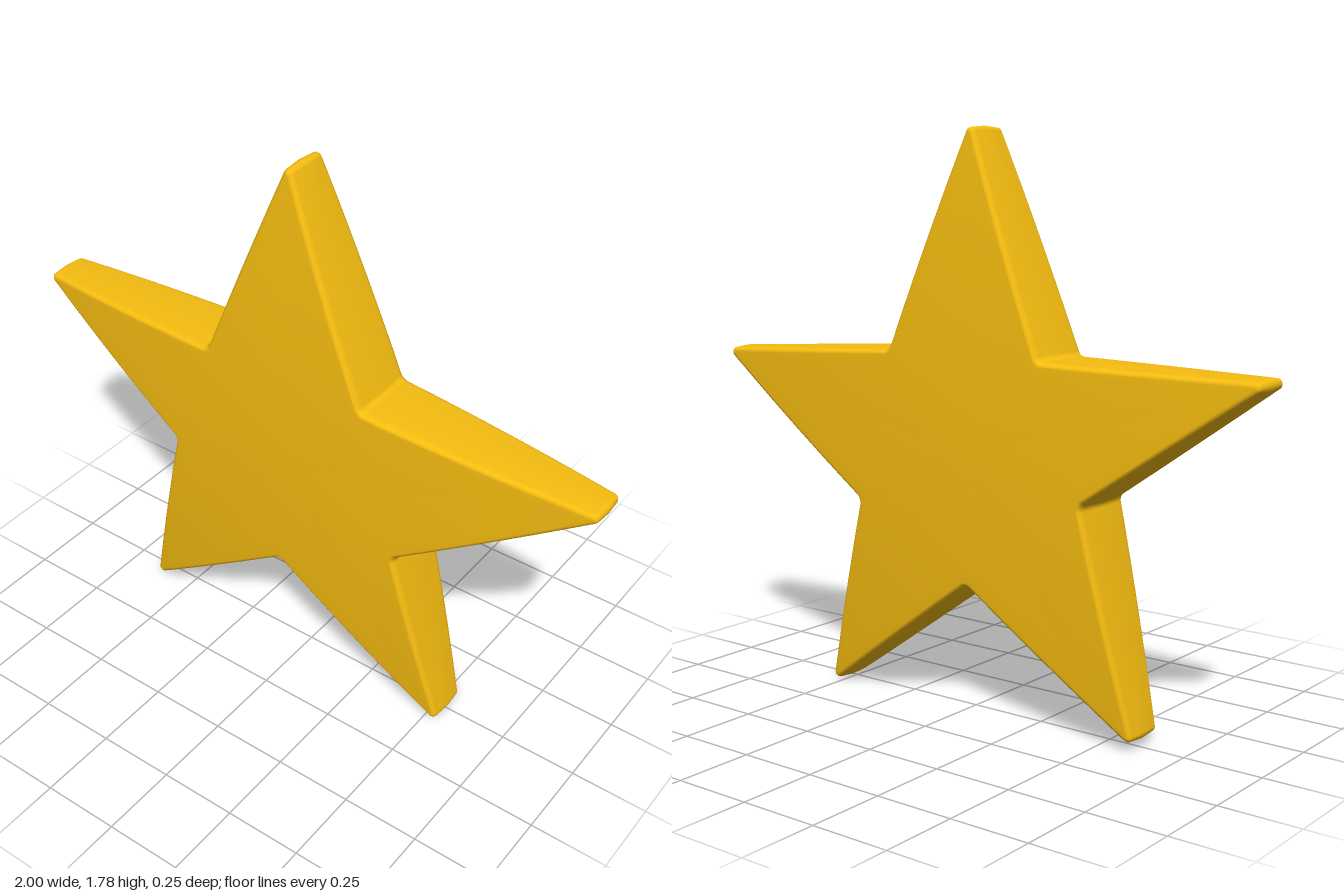
import * as THREE from 'three';

// Alternating tips and notches, counter-clockwise from the top tip
const CORNERS = [
  [-0.03, 1.78], [-0.315, 1.115], [-1, 1.09], [-0.465, 0.7], [-0.61, 0.025],
  [-0.045, 0.4], [0.535, 0], [0.39, 0.62], [1, 1.05], [0.26, 1.115],
].map(([x, y]) => new THREE.Vector2(x, y));
const CENTRE = new THREE.Vector2(-0.025, 0.82);
const RADIUS = 0.02, ARC_STEPS = 8, EDGE_STEPS = 10;

// Outline points with outward normals, every corner rounded by a small arc
function roundedOutline() {
  const n = CORNERS.length;
  const edgeAngle = (i) => {
    const d = CORNERS[(i + 1) % n].clone().sub(CORNERS[i % n]);
    return Math.atan2(-d.x, d.y);
  };
  const arcs = CORNERS.map((p, i) => {
    const a0 = edgeAngle(i + n - 1);
    let turn = edgeAngle(i) - a0;
    turn = Math.atan2(Math.sin(turn), Math.cos(turn));
    const r = turn > 0 ? RADIUS : -RADIUS;
    const dir = (a) => new THREE.Vector2(Math.cos(a), Math.sin(a));
    const c = p.clone().addScaledVector(dir(a0 + turn / 2), -r);
    return Array.from({ length: ARC_STEPS + 1 }, (_, k) => {
      const normal = dir(a0 + (turn * k) / ARC_STEPS);
      return { p: c.clone().addScaledVector(normal, r), normal };
    });
  });
  const out = [];
  arcs.forEach((arc, i) => {
    out.push(...arc);
    const a = arc[ARC_STEPS], b = arcs[(i + 1) % n][0];
    for (let k = 1; k < EDGE_STEPS; k++) {
      out.push({ p: a.p.clone().lerp(b.p, k / EDGE_STEPS), normal: a.normal });
    }
  });
  return out;
}

// Half thickness: domed in the middle, thinner towards the tips
const halfDepth = (p) => 0.126 - 0.057 * p.distanceToSquared(CENTRE);

function starGeometry() {
  const outline = roundedOutline(), n = outline.length;
  // Each ring: scale towards the centre, inset from the outline, share of depth
  const front = [];
  for (const s of [0.2, 0.4, 0.6, 0.8, 0.93]) front.push([s, 0.019, 1]);
  for (let k = 0; k <= 6; k++) {
    const a = (k / 6) * Math.PI / 2;
    front.push([1, 0.019 - 0.015 * Math.sin(a), 0.8 + 0.2 * Math.cos(a)]);
  }
  front.push([1, 0.002, 0.45]);
  const back = front.map(([s, inset, z]) => [s, inset, -z]).reverse();
  const rings = [...front, [1, 0, 0], ...back];

  const pos = [], index = [];
  for (const [s, inset, z] of rings) {
    for (const { p, normal } of outline) {
      const q = p.clone().addScaledVector(normal, -inset).lerp(CENTRE, 1 - s);
      pos.push(q.x, q.y, z * halfDepth(q));
    }
  }
  const frontPole = pos.length / 3, backPole = frontPole + 1, last = (rings.length - 1) * n;
  pos.push(CENTRE.x, CENTRE.y, halfDepth(CENTRE), CENTRE.x, CENTRE.y, -halfDepth(CENTRE));
  for (let i = 0; i < n; i++) {
    const j = (i + 1) % n;
    index.push(frontPole, i, j, backPole, last + j, last + i);
    for (let k = 0; k < rings.length - 1; k++) {
      const a = k * n + i, b = k * n + j;
      index.push(a, a + n, b + n, a, b + n, b);
    }
  }
  const geo = new THREE.BufferGeometry();
  geo.setAttribute('position', new THREE.Float32BufferAttribute(pos, 3));
  geo.setIndex(index);
  geo.computeVertexNormals();
  return geo;
}

export function createModel() {
  const group = new THREE.Group();
  const star = new THREE.Mesh(starGeometry(), new THREE.MeshStandardMaterial({ color: 0xf5bc10 }));
  star.name = 'star';
  group.add(star);
  return group;
}
